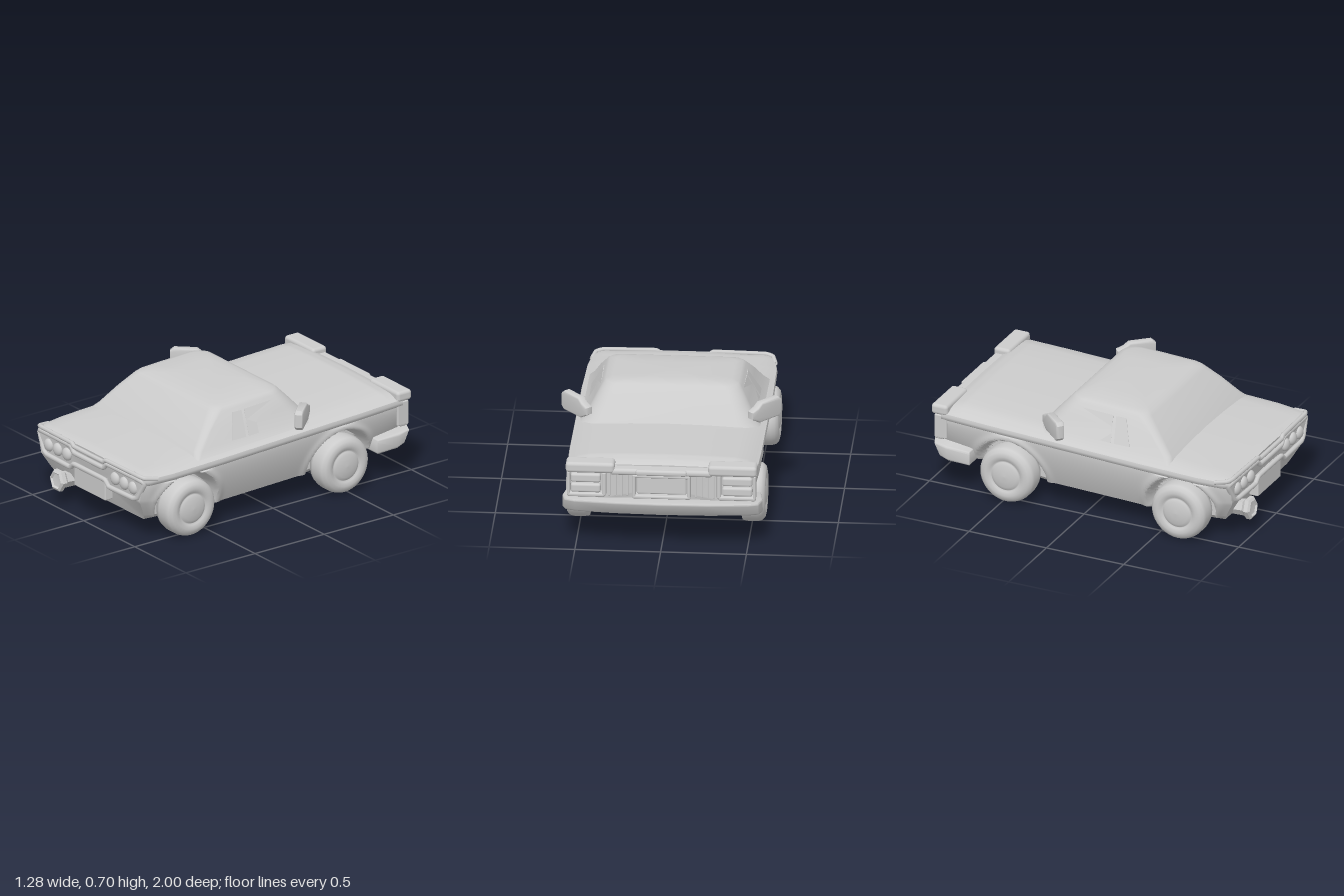
import * as THREE from 'three';
import { toCreasedNormals } from 'three/addons/utils/BufferGeometryUtils.js';
import { RoundedBoxGeometry } from 'three/addons/geometries/RoundedBoxGeometry.js';

const grey = new THREE.MeshStandardMaterial({ color: 0xcccccc, side: THREE.DoubleSide });
const V = (x, y, z) => new THREE.Vector3(x, y, z);
const smooth = THREE.MathUtils.smoothstep;
const lerp = THREE.MathUtils.lerp;

// Piecewise linear lookup in a list of [key, value], keys rising
function look(table, k) {
  if (k <= table[0][0]) return table[0][1];
  for (let i = 1; i < table.length; i++) {
    const [a, va] = table[i - 1], [b, vb] = table[i];
    if (k <= b) return lerp(va, vb, (k - a) / (b - a));
  }
  return table[table.length - 1][1];
}

// Skin closed rings of equal length and close both ends
function loft(rings, crease = 0.6) {
  const n = rings[0].length, pos = [], idx = [];
  rings.forEach(r => r.forEach(p => pos.push(p.x, p.y, p.z)));
  for (let i = 0; i < rings.length - 1; i++) {
    for (let j = 0; j < n; j++) {
      const a = i * n + j, b = i * n + (j + 1) % n;
      idx.push(a, b, a + n, b, b + n, a + n);
    }
  }
  [0, rings.length - 1].forEach((r, end) => {
    const c = V(0, 0, 0);
    rings[r].forEach(p => c.addScaledVector(p, 1 / n));
    pos.push(c.x, c.y, c.z);
    const ci = pos.length / 3 - 1;
    for (let j = 0; j < n; j++) {
      const a = r * n + j, b = r * n + (j + 1) % n;
      end ? idx.push(a, b, ci) : idx.push(b, a, ci);
    }
  });
  const g = new THREE.BufferGeometry();
  g.setAttribute('position', new THREE.Float32BufferAttribute(pos, 3));
  g.setIndex(idx);
  return toCreasedNormals(g, crease);
}

const WHEELS = [0.635, -0.475];
const width = z => look([[-0.92, 0.555], [-0.6, 0.562], [0.4, 0.562], [0.75, 0.555], [0.9, 0.535], [0.95, 0.515]], z);
const top = z => look([[-0.92, 0.5], [-0.86, 0.525], [-0.8, 0.535], [-0.33, 0.51], [0.55, 0.47], [0.9, 0.44], [0.96, 0.425]], z);
const belt = z => lerp(0.485, 0.41, (z + 0.92) / 1.87);
const floor = z => look([[-0.92, 0.22], [-0.7, 0.17], [-0.26, 0.12], [0.4, 0.1], [0.95, 0.115]], z);

// Half cross-section of the lower body, from the top centre to the floor centre
function bodySection(z) {
  const w = width(z), t = top(z), b = belt(z), f = floor(z), pts = [];
  pts.push([0, t], [w * 0.4, t - 0.003], [w * 0.75, t - 0.01], [w - 0.065, lerp(b, t, 0.6)],
    [w - 0.025, b + 0.008], [w - 0.005, b], [w, b - 0.018], [w - 0.004, b - 0.036], [w - 0.014, b - 0.044]);
  const y0 = b - 0.05, y1 = f + 0.03;
  for (let i = 0; i <= 22; i++) {
    const s = i / 22, y = lerp(y0, y1, s);
    let x = (w - 0.014) * (1 - 0.13 * s ** 1.6);
    for (const c of WHEELS) {
      const d = Math.hypot(z - c, y - 0.16);
      x += 0.01 * Math.exp(-(((d - 0.245) / 0.022) ** 2));
      x = lerp(x, Math.min(x, 0.44), 1 - smooth(d, 0.2, 0.232));
    }
    pts.push([x, y]);
  }
  pts.push([0.41, f], [0.2, f], [0, f]);
  // The ends lean in towards the floor
  return pts.map(([x, y]) => V(x, y, z - Math.sign(z) * Math.max(0, 0.26 - y) * 0.55 * smooth(Math.abs(z), 0.78, 0.95)));
}

function bodyGeometry() {
  const rings = [];
  for (let i = 0; i <= 130; i++) {
    const half = bodySection(lerp(-0.9, 0.95, i / 130));
    const other = half.slice(1, -1).reverse().map(p => V(-p.x, p.y, p.z));
    rings.push([...half, ...other]);
  }
  return loft(rings, 0.7);
}

// Horizontal rounded ring of the cabin; yf and yr are heights at each end
function cabinRing(w, zf, zr, rf, rr, yf, yr, bow) {
  const pts = [];
  [[1, 1, rr], [-1, 1, rr], [-1, -1, rf], [1, -1, rf]].forEach(([sx, sz, r], q) => {
    for (let i = 0; i <= 8; i++) {
      const a = (q + i / 8) * Math.PI / 2;
      const x = sx * (w - r) + r * Math.cos(a);
      let z = (sz > 0 ? zr - r : zf + r) + r * Math.sin(a);
      if (sz < 0) z += bow * (x / w) ** 2;
      pts.push(V(x, lerp(yf, yr, (z - zf) / (zr - zf)), z));
    }
  });
  return pts;
}

function wheelGeometry() {
  const p = [[0.0, -0.07], [0.13, -0.07], [0.168, -0.06], [0.174, -0.03], [0.174, 0.03], [0.168, 0.052],
    [0.15, 0.07], [0.125, 0.076], [0.1, 0.07], [0.094, 0.06], [0.088, 0.066], [0.07, 0.074], [0.035, 0.08], [0, 0.082]];
  const g = new THREE.LatheGeometry(p.map(q => new THREE.Vector2(...q)), 40);
  return g.rotateZ(-Math.PI / 2);
}

function tube(points, r, closed = false) {
  const path = new THREE.CatmullRomCurve3(points.map(p => V(...p)), closed, 'catmullrom', 0.12);
  return new THREE.TubeGeometry(path, 160, r, 8, closed);
}

function polygon(points) {
  return new THREE.Shape(points.map(p => new THREE.Vector2(...p)));
}

export function createModel() {
  const car = new THREE.Group();
  car.name = 'car';
  const add = (name, geo, x = 0, y = 0, z = 0) => {
    const m = new THREE.Mesh(geo, grey);
    m.name = name;
    m.position.set(x, y, z);
    car.add(m);
    return m;
  };
  const box = (name, w, h, d, x, y, z, r = 0.01) => add(name, new RoundedBoxGeometry(w, h, d, 3, r), x, y, z);

  add('body', bodyGeometry());
  add('cabin', loft([
    cabinRing(0.525, -0.345, 0.57, 0.1, 0.03, 0.485, 0.44, 0.05),
    cabinRing(0.495, -0.322, 0.545, 0.1, 0.04, 0.515, 0.475, 0.05),
    cabinRing(0.45, -0.25, 0.45, 0.09, 0.05, 0.595, 0.57, 0.04),
    cabinRing(0.405, -0.178, 0.365, 0.08, 0.06, 0.668, 0.648, 0.03),
    cabinRing(0.388, -0.155, 0.345, 0.08, 0.06, 0.686, 0.664, 0.025),
    cabinRing(0.35, -0.12, 0.31, 0.08, 0.06, 0.697, 0.676, 0.02),
    cabinRing(0.2, -0.06, 0.2, 0.06, 0.05, 0.702, 0.688, 0.01),
  ], 0.75));

  for (const s of [1, -1]) {
    for (const z of WHEELS) {
      const wheel = add('wheel', wheelGeometry(), s * 0.506, 0.176, z);
      if (s < 0) wheel.rotation.y = Math.PI;
    }

    // Side windows lie on the sloping cabin side
    const sideX = y => lerp(0.495, 0.405, (y - 0.49) / 0.17) + 0.003;
    const panes = [[[0.29, 0.495], [0.19, 0.495], [0.17, 0.635], [0.235, 0.635]],
      [[0.17, 0.495], [-0.17, 0.51], [-0.09, 0.645], [0.15, 0.637]]];
    for (const pane of panes) {
      const g = new THREE.ExtrudeGeometry(polygon(pane), { depth: 0.004, bevelEnabled: false });
      const p = g.attributes.position;
      for (let i = 0; i < p.count; i++) {
        const z = p.getX(i), y = p.getY(i), d = p.getZ(i);
        p.setXYZ(i, s * (sideX(y) + d - 0.004), y, z);
      }
      g.computeVertexNormals();
      add('sideWindow', g);
    }

    // Door mirror: bevelled slab set at an angle, with a tapered arm
    const slab = polygon([[0, 0.545], [0.05, 0.515], [0.2, 0.515], [0.215, 0.53], [0.215, 0.6], [0.2, 0.613], [0.07, 0.613], [0.04, 0.59], [0, 0.575]]);
    const mg = new THREE.ExtrudeGeometry(slab, { depth: 0.03, bevelSize: 0.01, bevelThickness: 0.01, bevelSegments: 3 });
    mg.translate(0, 0, -0.015);
    const mirror = add('doorMirror', toCreasedNormals(mg, 0.7), s * 0.475, 0, -0.255);
    mirror.rotation.y = s > 0 ? -0.83 : Math.PI + 0.83;

    // Round lamps at the +z end
    for (const x of [0.235, 0.325, 0.412]) {
      const lamp = add('roundLamp', new THREE.SphereGeometry(0.039, 24, 16), s * x, 0.33, 0.945);
      lamp.scale.z = 0.6;
    }

    // Rectangular lamps, hoods and grille slats at the -z end
    box('lampHood', 0.285, 0.065, 0.105, s * 0.415, 0.502, -0.912, 0.02);
    box('lampFrame', 0.025, 0.15, 0.06, s * 0.335, 0.395, -0.915);
    box('lampFrame', 0.018, 0.15, 0.08, s * 0.542, 0.395, -0.905, 0.008);
    box('lampSill', 0.22, 0.025, 0.06, s * 0.44, 0.325, -0.915);
    for (const y of [0.365, 0.428]) box('lampLens', 0.175, 0.055, 0.05, s * 0.442, y, -0.915, 0.014);
    for (const x of [0.2, 0.235, 0.27, 0.305]) box('grilleSlat', 0.012, 0.16, 0.03, s * x, 0.395, -0.905, 0.004);
  }

  // Trim around the recessed lamp panel at the +z end
  const half = [[0.14, 0.372, 0.962], [0.18, 0.405, 0.96], [0.47, 0.4, 0.95], [0.515, 0.385, 0.938],
    [0.46, 0.285, 0.948], [0.42, 0.268, 0.952], [0.19, 0.266, 0.956], [0.15, 0.298, 0.958]];
  const loop = [...half, ...half.slice().reverse().map(([x, y, z]) => [-x, y, z])];
  add('lampPanelTrim', tube(loop, 0.015, true));
  const lip = [[0.535, 0.405, 0.86], [0.515, 0.417, 0.935], [0.47, 0.424, 0.953], [0.17, 0.425, 0.96], [0.14, 0.41, 0.962]];
  add('deckLip', tube([...lip, ...lip.slice().reverse().map(([x, y, z]) => [-x, y, z])], 0.014));
  box('platePanel', 0.305, 0.135, 0.06, 0, 0.232, 0.927, 0.008);

  // Hexagonal exhaust
  const pipe = [[0.042, 0.075], [0.052, 0.085], [0.068, 0.075], [0.068, 0.05], [0.05, 0.03], [0.04, -0.12]];
  const ex = new THREE.LatheGeometry([[0, 0.07], ...pipe].map(q => new THREE.Vector2(...q)), 6, Math.PI / 6);
  const exhaust = add('exhaust', toCreasedNormals(ex.rotateX(Math.PI / 2), 0.4), -0.285, 0.15, 0.908);
  exhaust.rotation.x = -0.1;

  // Centre grille and nose lip at the -z end
  box('noseLip', 0.6, 0.04, 0.08, 0, 0.48, -0.92, 0.018);
  box('noseCrest', 0.3, 0.035, 0.05, 0, 0.482, -0.945, 0.014);
  for (const y of [0.325, 0.455]) box('grilleFrame', 0.34, 0.02, 0.06, 0, y, -0.925, 0.008);
  for (const x of [-0.16, 0.16]) box('grilleFrame', 0.02, 0.14, 0.06, x, 0.39, -0.925, 0.008);
  box('grillePanel', 0.29, 0.11, 0.03, 0, 0.39, -0.915, 0.01);

  // Wrap-around bumper: bowed plan extruded upwards
  const side = [[0.555, 0.72], [0.572, 0.85], [0.555, 0.925], [0.5, 0.95], [0.27, 0.976], [0, 0.985]];
  const plan = polygon([...side, ...side.slice(0, -1).reverse().map(([x, z]) => [-x, z])]);
  const bg = new THREE.ExtrudeGeometry(plan, { depth: 0.06, bevelSize: 0.012, bevelThickness: 0.014, bevelSegments: 3 });
  bg.rotateX(-Math.PI / 2);
  const bp = bg.attributes.position;
  for (let i = 0; i < bp.count; i++) {
    const lean = smooth(-bp.getZ(i), 0.8, 0.95) * (0.06 - bp.getY(i)) * 0.5;
    bp.setXYZ(i, bp.getX(i), bp.getY(i) + 0.215 - (bp.getZ(i) + 0.85) * 0.1, bp.getZ(i) + lean);
  }
  add('bumper', toCreasedNormals(bg, 0.7));
  return car;
}
